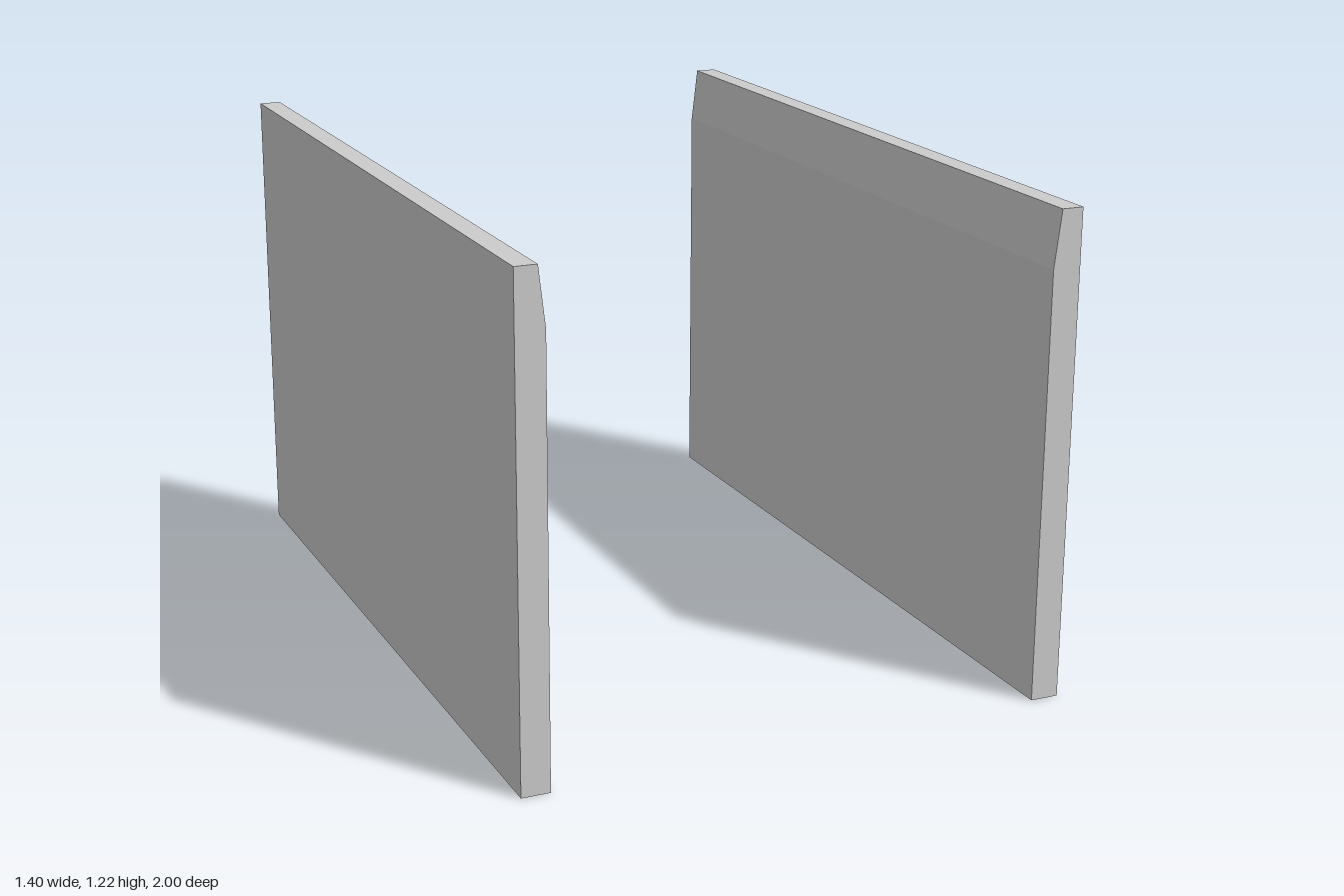
import * as THREE from 'three';

const OUTER = 0.7, INNER = 0.628, TOP_INNER = 0.645; // x positions of the wall faces
const HEIGHT = 1.223, BEVEL_START = 1.08, LENGTH = 2;

// Upright wall with a tapered inner top edge; side is +1 (left) or -1 (right)
function makeWall(side, name, material) {
  const profile = [
    [OUTER, 0], [OUTER, HEIGHT], [TOP_INNER, HEIGHT], [INNER, BEVEL_START], [INNER, 0],
  ].map(([x, y]) => new THREE.Vector2(side * x, y));
  const geometry = new THREE.ExtrudeGeometry(new THREE.Shape(profile), {
    depth: LENGTH, bevelEnabled: false,
  });
  geometry.translate(0, 0, -LENGTH / 2);
  const wall = new THREE.Mesh(geometry, material);
  wall.name = name;
  return wall;
}

export function createModel() {
  const group = new THREE.Group();
  group.name = 'sideWalls';
  const material = new THREE.MeshStandardMaterial({ color: 0xcccccc, flatShading: true });
  group.add(makeWall(1, 'leftWall', material), makeWall(-1, 'rightWall', material));
  return group;
}
